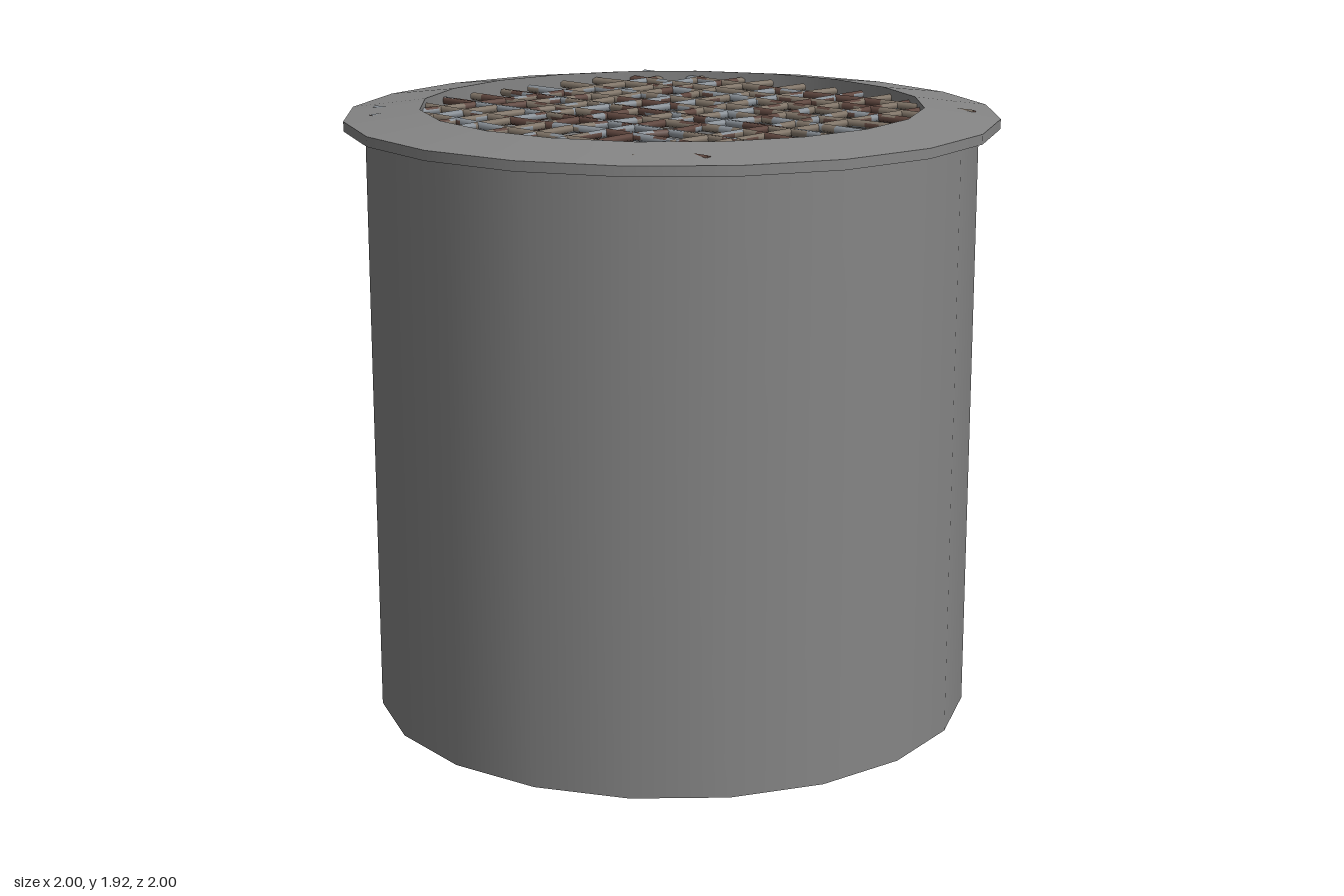
import * as THREE from 'three';

const mat = (name, color) => {
  const m = new THREE.MeshStandardMaterial({ color });
  m.name = name;
  return m;
};

// Rod centre lines: [position along the rod, sideways offset]
const crossRods = [
  [[-.7, -.6], [-.3, -.59], [0, -.57], [.3, -.585], [.7, -.6]],
  [[-.7, -.465], [-.4, -.46], [0, -.45], [.3, -.46], [.7, -.45]],
  [[-.7, -.345], [-.5, -.36], [-.1, -.36], [.3, -.34], [.7, -.35]],
  [[-.7, -.215], [0, -.2], [.35, -.19], [.7, -.215]],
  [[-.7, -.065], [-.3, -.075], [0, -.09], [.4, -.075], [.7, -.065]],
  [[-.7, .055], [.7, .055]],
  [[-.7, .185], [-.1, .19], [.2, .17], [.4, .16], [.7, .19]],
  [[-.7, .31], [.7, .31]],
  [[-.7, .44], [-.4, .455], [-.15, .46], [.1, .435], [.7, .445]],
  [[-.7, .59], [-.4, .58], [-.1, .605], [.2, .6], [.7, .59]],
];
const lengthRods = [
  [[-.71, -.56], [-.3, -.55], [.1, -.54], [.4, -.55], [.72, -.565]],
  [[-.71, -.46], [-.4, -.43], [-.1, -.42], [.3, -.45], [.72, -.43]],
  [[-.71, -.33], [-.3, -.34], [.1, -.31], [.4, -.33], [.72, -.33]],
  [[-.71, -.22], [-.5, -.24], [-.2, -.2], [0, -.21], [.35, -.23], [.72, -.215]],
  [[-.71, -.08], [0, -.09], [.72, -.08]],
  [[-.71, .055], [-.4, .03], [-.1, .05], [.2, .05], [.45, .02], [.72, .055]],
  [[-.71, .165], [-.3, .17], [.15, .14], [.72, .17]],
  [[-.71, .285], [-.4, .28], [-.1, .3], [.1, .27], [.28, .29], [.4, .26], [.72, .285]],
  [[-.71, .41], [-.4, .41], [0, .44], [.2, .44], [.72, .425]],
  [[-.71, .54], [-.2, .53], [.72, .535]],
];

export function createModel() {
  const model = new THREE.Group();
  model.name = 'grate covered pipe';
  const concrete = mat('concrete grey', 0x858585);
  const metals = [
    mat('weathered brown', 0x83776a),
    mat('bare steel', 0x8d949b),
    mat('dark rust', 0x614840),
  ];

  // Pipe: one lathe strip per profile edge keeps the edges sharp
  const pipe = new THREE.Group();
  pipe.name = 'pipe';
  const profile = [[.77, 0], [.935, .03], [.935, 1.86], [1, 1.86], [1, 1.89], [.77, 1.92], [.77, 0]]
    .map(p => new THREE.Vector2(...p));
  const names = ['bottomRim', 'outerWall', 'flangeUnderside', 'flangeEdge', 'flangeTop', 'innerWall'];
  names.forEach((name, i) => {
    const strip = new THREE.Mesh(new THREE.LatheGeometry([profile[i], profile[i + 1]], 20), concrete);
    strip.name = name;
    pipe.add(strip);
  });
  model.add(pipe);

  let seed = 7;
  const random = () => (seed = (seed * 16807) % 2147483647) / 2147483647;

  // Each rod is a thin tube whose faces change between rust, brown and steel
  const R = 0.0125, SEGMENTS = 28, SIDES = 6;
  const addRod = (line, index, alongX, parent) => {
    const points = line.map(([t, s]) => alongX ? new THREE.Vector3(t, 1.893, s) : new THREE.Vector3(s, 1.892, t));
    const path = new THREE.CatmullRomCurve3(points);
    const geometry = new THREE.TubeGeometry(path, SEGMENTS, R, SIDES);
    let tint = 0;
    for (let j = 0; j < SEGMENTS; j++) {
      const p = path.getPointAt((j + .5) / SEGMENTS);
      const rusty = Math.hypot(p.x - .1, p.z - .25) < .3 || Math.hypot(p.x - .05, p.z + .6) < .2;
      if (random() < .5) {
        const r = random();
        tint = r < (rusty ? .5 : .15) ? 2 : r < .72 ? 0 : 1;
      }
      for (let i = 0; i < SIDES; i++) {
        const face = random() < .2 ? Math.floor(random() * 3) : tint;
        geometry.addGroup((j * SIDES + i) * 6, 6, face);
      }
    }
    const rod = new THREE.Group();
    rod.name = (alongX ? 'crossRod' : 'lengthRod') + (index + 1);
    rod.add(new THREE.Mesh(geometry, metals));
    // End caps
    for (const t of [0, 1]) {
      const cap = new THREE.Mesh(new THREE.CircleGeometry(R, SIDES), metals[2]);
      const end = path.getPoint(t);
      cap.position.copy(end);
      cap.lookAt(end.clone().addScaledVector(path.getTangent(t), t ? 1 : -1));
      cap.name = 'rodEnd';
      rod.add(cap);
    }
    parent.add(rod);
  };

  const grate = new THREE.Group();
  grate.name = 'grate';
  crossRods.forEach((line, i) => addRod(line, i, true, grate));
  lengthRods.forEach((line, i) => addRod(line, i, false, grate));
  model.add(grate);
  return model;
}
